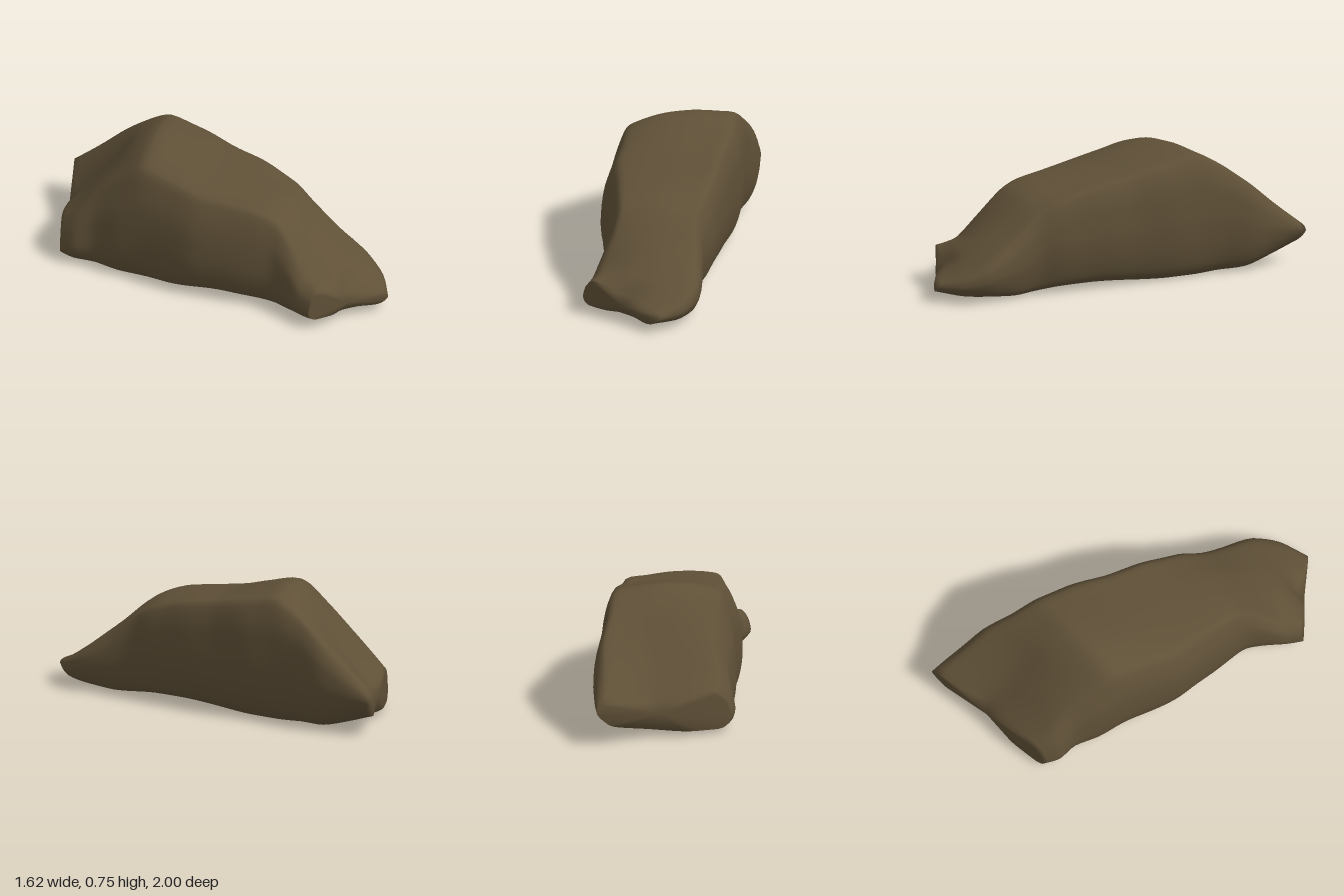
import * as THREE from 'three';

// Cross-sections from the back end to the front end:
// left edge x,z | right edge x,z | base y left,right | top y left,middle,right | groove shift along the length
const STATIONS = [
  [-0.81, -0.26, -0.47, -1.00, 0.03, 0.15, 0.24, 0.20, 0.25, 0.06],
  [-0.76, -0.17, -0.35, -0.90, 0.02, 0.09, 0.33, 0.33, 0.38, 0.04],
  [-0.67, -0.10, -0.22, -0.78, 0.01, 0.03, 0.46, 0.49, 0.53, 0.02],
  [-0.58, 0.02, -0.13, -0.63, 0.01, 0.02, 0.58, 0.66, 0.65, 0],
  [-0.48, 0.13, -0.03, -0.51, 0.01, 0.01, 0.69, 0.765, 0.725, 0],
  [-0.36, 0.28, 0.09, -0.37, 0.02, 0.01, 0.66, 0.72, 0.695, 0],
  [-0.25, 0.41, 0.22, -0.18, 0.04, 0.02, 0.625, 0.66, 0.655, 0],
  [-0.11, 0.52, 0.36, 0.01, 0.05, 0.04, 0.60, 0.62, 0.615, 0],
  [0.04, 0.63, 0.48, 0.19, 0.04, 0.04, 0.58, 0.59, 0.555, 0],
  [0.13, 0.70, 0.54, 0.32, 0.03, 0.02, 0.53, 0.54, 0.48, 0],
  [0.18, 0.79, 0.65, 0.43, 0.03, 0.01, 0.42, 0.44, 0.36, 0],
  [0.22, 0.90, 0.77, 0.57, 0.04, 0.03, 0.28, 0.32, 0.24, 0],
  [0.24, 0.95, 0.81, 0.72, 0.045, 0.04, 0.245, 0.25, 0.17, -0.02],
  [0.26, 1.00, 0.77, 0.90, 0.06, 0.05, 0.22, 0.17, 0.12, -0.06],
];

// Section outline: position across (0 left, 1 right), height (0 base, 1 top)
const SECTION = [
  [0.09, 0], [0.02, 0.12], [0, 0.33], [0.035, 0.7], [0.12, 0.96], [0.24, 1], [0.4, 1], [0.6, 1],
  [0.78, 1], [0.92, 0.98], [0.985, 0.78], [1, 0.5], [0.975, 0.26], [0.93, 0.08], [0.86, 0],
  [0.7, 0], [0.5, 0], [0.3, 0],
];

const LENGTH_STEPS = 52;
const RING_STEPS = 72;
const { lerp, clamp } = THREE.MathUtils;

function sectionPoint([lx, lz, rx, rz, baseL, baseR, topL, topM, topR, groove], [u, h]) {
  // The base lifts only close to the right edge
  const base = lerp(baseL, baseR, u ** 3);
  const top = u < 0.5
    ? lerp(topL, topM, clamp((u - 0.12) / 0.38, 0, 1))
    : lerp(topM, topR, clamp((u - 0.5) / 0.42, 0, 1));
  // Groove that splits each end into two lobes
  const shift = groove * Math.exp(-(((u - 0.6) / 0.18) ** 2));
  return new THREE.Vector3(
    lerp(lx, rx, u) + shift * 0.65,
    lerp(base, top, h),
    lerp(lz, rz, u) + shift * 0.76,
  );
}

function boulderGeometry() {
  // Lengthwise curves through matching points of every section
  const rails = SECTION.map((p) => new THREE.CatmullRomCurve3(
    STATIONS.map((s) => sectionPoint(s, p)), false, 'catmullrom', 0.4));

  const positions = [];
  const index = [];
  const centres = [];
  for (let i = 0; i <= LENGTH_STEPS; i++) {
    const t = i / LENGTH_STEPS;
    const ring = new THREE.CatmullRomCurve3(rails.map((r) => r.getPoint(t)), true, 'catmullrom', 0.4);
    const centre = new THREE.Vector3();
    for (let j = 0; j < RING_STEPS; j++) {
      const p = ring.getPoint(j / RING_STEPS);
      // Gentle weathered undulation
      const wave = 0.003 * Math.sin(13 * p.x + 5 * p.y) * Math.sin(11 * p.z - 9 * p.y + 1);
      positions.push(p.x + wave, Math.max(0, p.y + wave), p.z - wave);
      centre.addScaledVector(p, 1 / RING_STEPS);
    }
    centres.push(centre);
  }

  // Skin between neighbouring sections
  const id = (i, j) => i * RING_STEPS + (j % RING_STEPS);
  for (let i = 0; i < LENGTH_STEPS; i++) {
    for (let j = 0; j < RING_STEPS; j++) {
      index.push(id(i, j), id(i + 1, j), id(i, j + 1));
      index.push(id(i + 1, j), id(i + 1, j + 1), id(i, j + 1));
    }
  }

  // End faces
  [0, LENGTH_STEPS].forEach((i) => {
    const c = positions.length / 3;
    positions.push(...centres[i].toArray());
    for (let j = 0; j < RING_STEPS; j++) {
      if (i === 0) index.push(c, id(i, j), id(i, j + 1));
      else index.push(c, id(i, j + 1), id(i, j));
    }
  });

  const geometry = new THREE.BufferGeometry();
  geometry.setAttribute('position', new THREE.Float32BufferAttribute(positions, 3));
  geometry.setIndex(index);
  geometry.computeVertexNormals();
  return geometry;
}

export function createModel() {
  const group = new THREE.Group();
  group.name = 'rock';
  const stone = new THREE.MeshStandardMaterial({ color: 0x5f5037 });
  stone.name = 'brown stone';
  const boulder = new THREE.Mesh(boulderGeometry(), stone);
  boulder.name = 'boulder';
  group.add(boulder);
  return group;
}
